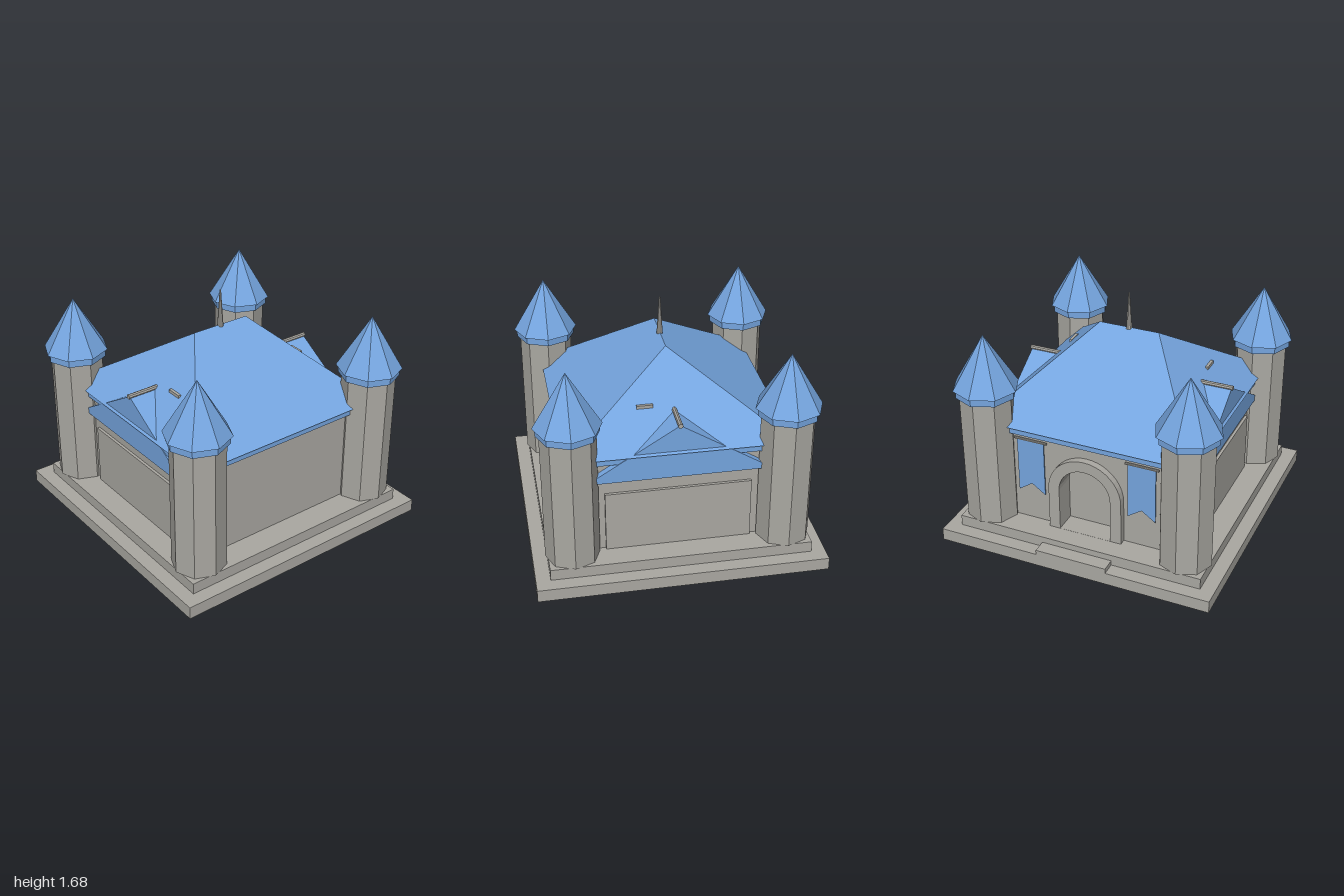
import * as THREE from 'three';

export function createModel() {
  const g = new THREE.Group();
  const stone = new THREE.MeshStandardMaterial({ color: 0xaaa8a2, flatShading: true });
  stone.name = 'stone';
  const blue = new THREE.MeshStandardMaterial({ color: 0x75a5df, flatShading: true, side: THREE.DoubleSide });
  blue.name = 'blueRoof';

  function add(name, geo, mat, x = 0, y = 0, z = 0) {
    const m = new THREE.Mesh(geo, mat);
    m.name = name;
    m.position.set(x, y, z);
    g.add(m);
    return m;
  }
  // box given by its minimum and maximum corners
  function box(name, mat, x0, x1, y0, y1, z0, z1) {
    return add(name, new THREE.BoxGeometry(x1 - x0, y1 - y0, z1 - z0), mat,
      (x0 + x1) / 2, (y0 + y1) / 2, (z0 + z1) / 2);
  }
  const extrude = (shape, depth) =>
    new THREE.ExtrudeGeometry(shape, { depth, bevelEnabled: false, curveSegments: 10 });
  // round-topped doorway outline
  function arch(path, r, spring, foot) {
    path.moveTo(r, foot);
    path.lineTo(r, spring);
    path.absarc(0, spring, r, 0, Math.PI, false);
    path.lineTo(-r, foot);
    path.closePath();
    return path;
  }

  // stepped base
  box('base', stone, -1, 1, 0, 0.09, -1, 1);
  box('plinth', stone, -0.9, 0.9, 0.09, 0.17, -0.9, 0.9);
  box('doorStep', stone, -0.26, 0.26, 0.09, 0.125, -1, -0.9);

  // hall, with an arched doorway through the back wall
  box('hall', stone, -0.71, 0.71, 0.17, 0.86, -0.6, 0.71);
  const wall = new THREE.Shape();
  wall.moveTo(-0.71, 0.17);
  wall.lineTo(0.71, 0.17);
  wall.lineTo(0.71, 0.86);
  wall.lineTo(-0.71, 0.86);
  wall.holes.push(arch(new THREE.Path(), 0.19, 0.49, 0.171));
  add('backWall', extrude(wall, 0.11), stone, 0, 0, -0.71);
  const frame = arch(new THREE.Shape(), 0.27, 0.49, 0.17);
  frame.holes.push(arch(new THREE.Path(), 0.19, 0.49, 0.171));
  add('doorFrame', extrude(frame, 0.06), stone, 0, 0, -0.76);

  // hipped main roof
  box('roofBand', blue, -0.755, 0.755, 0.855, 0.906, -0.755, 0.755);
  const e = 0.775, y0 = 0.905, y1 = 1.42, r = 0.22;
  const A = [-e, y0, e], B = [e, y0, e], C = [e, y0, -e], D = [-e, y0, -e];
  const L = [-r, y1, 0], R = [r, y1, 0];
  const faces = [A, B, R, A, R, L, B, C, R, C, D, L, C, L, R, D, A, L, A, D, C, A, C, B];
  const hip = new THREE.BufferGeometry();
  hip.setAttribute('position', new THREE.Float32BufferAttribute(faces.flat(), 3));
  hip.computeVertexNormals();
  add('mainRoof', hip, blue);
  add('spire', new THREE.CylinderGeometry(0.005, 0.022, 0.27, 8), stone, 0, 1.545, 0);

  // cross gable running from side to side
  const tri = new THREE.Shape();
  tri.moveTo(-0.63, 0.72);
  tri.lineTo(0.63, 0.72);
  tri.lineTo(0, 1.11);
  add('sideGables', extrude(tri, 1.52), blue, -0.76, 0, 0).rotation.y = Math.PI / 2;

  for (const s of [-1, 1]) {
    // side panel, gable ridge and roof vent
    box('sidePanel', stone, s * 0.72 - 0.01, s * 0.72 + 0.01, 0.17, 0.61, -0.5, 0.5);
    add('gableRidge', new THREE.CylinderGeometry(0.017, 0.017, 0.24, 8), stone, s * 0.65, 1.11, 0)
      .rotation.z = Math.PI / 2;
    box('roofVent', stone, s * 0.525 - 0.01, s * 0.525 + 0.01, 1.13, 1.152, 0.14, 0.25);

    // swallow-tailed banner on its rod
    const flag = new THREE.Shape();
    flag.moveTo(-0.1, 0.81);
    flag.lineTo(-0.1, 0.4);
    flag.lineTo(0, 0.47);
    flag.lineTo(0.1, 0.4);
    flag.lineTo(0.1, 0.81);
    add('banner', extrude(flag, 0.008), blue, s * 0.41, 0, -0.735);
    add('bannerRod', new THREE.CylinderGeometry(0.009, 0.009, 0.24, 8), stone, s * 0.41, 0.815, -0.73)
      .rotation.z = Math.PI / 2;

    // octagonal corner towers
    for (const t of [-1, 1]) {
      const x = s * 0.73, z = t * 0.73;
      add('tower', new THREE.CylinderGeometry(0.187, 0.187, 0.95, 8), stone, x, 0.645, z);
      add('towerCollar', new THREE.CylinderGeometry(0.21, 0.21, 0.055, 8), blue, x, 1.1425, z);
      add('towerRoof', new THREE.ConeGeometry(0.228, 0.38, 8), blue, x, 1.36, z);
    }
  }
  return g;
}
